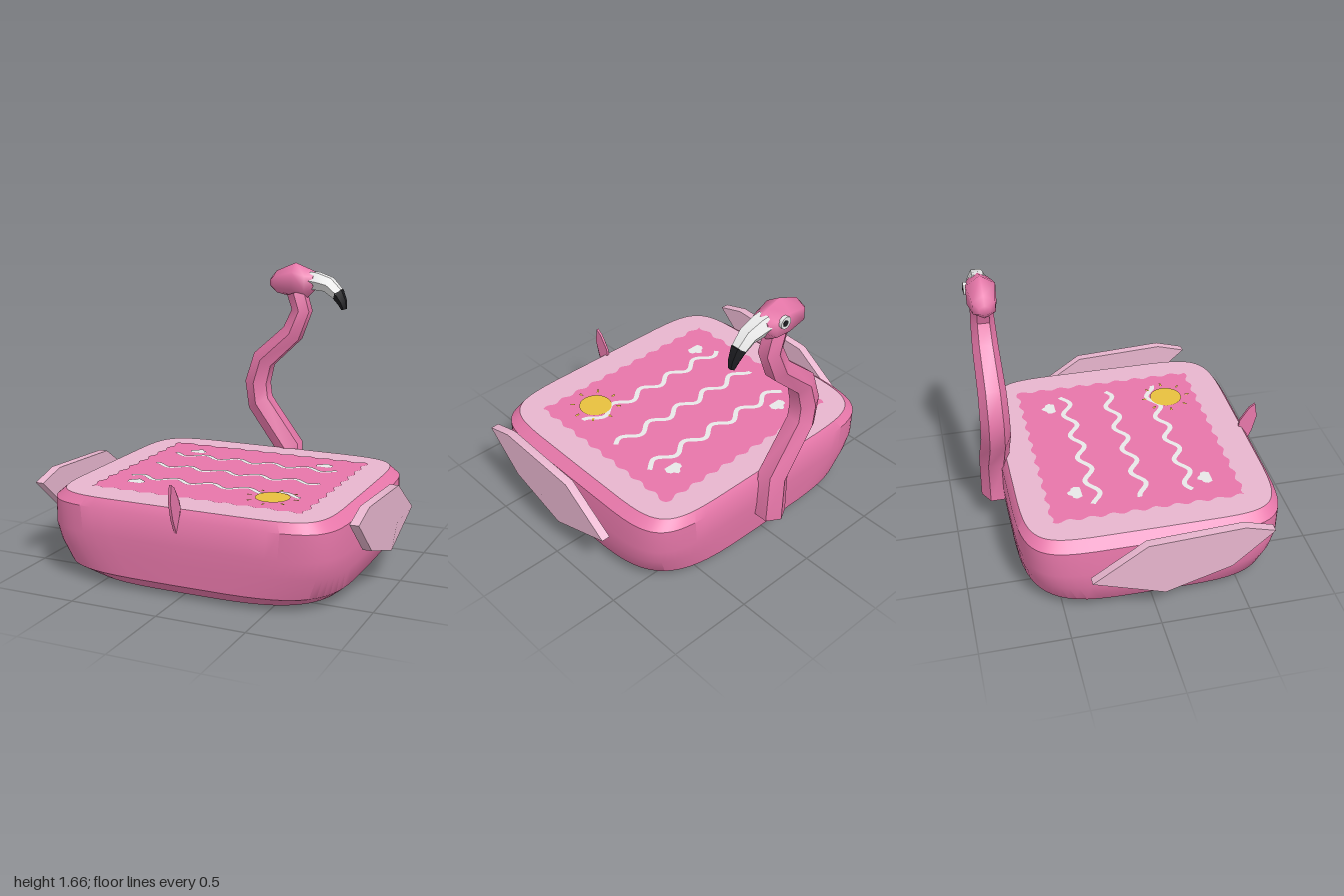
import * as THREE from 'three';
import { toCreasedNormals } from 'three/addons/utils/BufferGeometryUtils.js';

const V = (x, y, z) => new THREE.Vector3(x, y, z);
const mat = (name, color) => {
  const m = new THREE.MeshStandardMaterial({ color });
  m.name = name;
  return m;
};

// Skin between rings; each ring runs counter-clockwise about the direction of travel
function loft(rings, crease, startCap, endCap) {
  const n = rings[0].length, pos = [], idx = [];
  rings.flat().forEach(p => pos.push(p.x, p.y, p.z));
  for (let r = 0; r < rings.length - 1; r++) {
    for (let i = 0; i < n; i++) {
      const a = r * n + i, b = r * n + (i + 1) % n;
      idx.push(a, b, b + n, a, b + n, a + n);
    }
  }
  const cap = (centre, base, flip) => {
    const c = pos.length / 3;
    pos.push(centre.x, centre.y, centre.z);
    for (let i = 0; i < n; i++) {
      const a = base + i, b = base + (i + 1) % n;
      if (flip) idx.push(c, b, a); else idx.push(c, a, b);
    }
  };
  if (startCap) cap(startCap, 0, true);
  if (endCap) cap(endCap, (rings.length - 1) * n, false);
  const g = new THREE.BufferGeometry();
  g.setAttribute('position', new THREE.Float32BufferAttribute(pos, 3));
  g.setIndex(idx);
  return toCreasedNormals(g, crease);
}

// Six-sided tube along a path of [x, y, radius] at depth z
function hexTube(path, z, crease) {
  const rings = path.map(([x, y, r], k) => {
    const p = path[Math.max(k - 1, 0)], q = path[Math.min(k + 1, path.length - 1)];
    const t = V(q[0] - p[0], q[1] - p[1], 0).normalize();
    return Array.from({ length: 6 }, (_, i) => {
      const a = Math.PI / 6 + i * Math.PI / 3, c = Math.cos(a) * r;
      return V(x - t.y * c, y + t.x * c, z + Math.sin(a) * r);
    });
  });
  const s = path[0], e = path[path.length - 1];
  return loft(rings, crease, V(s[0], s[1], z), V(e[0], e[1], z));
}

// Plate in the yz plane with a thin rim and a raised middle on both sides
function puffPlate(outline, rim, peak, cz, cy) {
  const ring = x => outline.map(([z, y]) => V(x, y, z));
  const g = loft([ring(-rim), ring(rim)], 0.8, V(-peak, cy, cz), V(peak, cy, cz));
  const nrm = g.attributes.normal;
  for (let i = 0; i < nrm.count; i++) {
    const x = nrm.getX(i);
    if (Math.abs(x) > 0.5) nrm.setXYZ(i, Math.sign(x), 0, 0);
  }
  return g;
}

// Flat sheet facing up from [x, z] points
function sheet(points, y) {
  const shape = new THREE.Shape(points.map(([x, z]) => new THREE.Vector2(x, -z)));
  return new THREE.ShapeGeometry(shape).rotateX(-Math.PI / 2).translate(0, y, 0);
}

// Rounded square ring for the float
function squircle(y, hx, hz, n) {
  const f = v => Math.sign(v) * Math.pow(Math.abs(v), 2 / n);
  return Array.from({ length: 64 }, (_, i) => {
    const a = i / 64 * Math.PI * 2;
    return V(hx * f(Math.cos(a)), y, 0.03 - hz * f(Math.sin(a)));
  });
}

export function createModel() {
  const root = new THREE.Group();
  root.name = 'birdFloat';
  const pink = mat('pink', 0xf57fb4), towelPink = mat('towelPink', 0xf57db4);
  const pale = mat('palePink', 0xf5c0da), white = mat('white', 0xf4f4f4);
  const black = mat('black', 0x1c1c20), yellow = mat('yellow', 0xf2c942);
  const add = (name, geometry, material, parent = root) => {
    const m = new THREE.Mesh(geometry, material);
    m.name = name;
    parent.add(m);
    return m;
  };

  // Float body and its pale deck
  const top = squircle(0.5, 0.79, 0.71, 7);
  add('floatBody', loft([
    squircle(0, 0.75, 0.63, 3.6), squircle(0.075, 0.825, 0.722, 4.2),
    squircle(0.2, 0.855, 0.735, 5.2), squircle(0.3, 0.862, 0.742, 6),
    squircle(0.45, 0.85, 0.742, 6.5), top,
  ], 0.6, V(0, 0, 0.03)), pink);
  add('deck', sheet(top.map(p => [p.x, p.z]), 0.5), pale);

  // Towel with a wavy hem
  const hem = [], corners = [[-0.63, -0.52], [0.63, -0.52], [0.63, 0.56], [-0.63, 0.56]];
  corners.forEach(([x, z], k) => {
    const [x2, z2] = corners[(k + 1) % 4], steps = 72, waves = k % 2 ? 9 : 11;
    for (let i = 0; i < steps; i++) {
      const t = i / steps, w = 0.011 * Math.sin(t * waves * Math.PI * 2);
      hem.push([x + (x2 - x) * t + (k % 2 ? w : 0), z + (z2 - z) * t + (k % 2 ? 0 : w)]);
    }
  });
  add('towel', sheet(hem, 0.503), towelPink);

  // Wavy stripes
  [[-0.25, -0.325], [0.02, -0.3], [0.29, -0.25]].forEach(([zc, x0]) => {
    const upper = [], lower = [], k = Math.PI * 2 / 0.22;
    for (let i = 0; i <= 100; i++) {
      const x = -0.525 + 1.05 * i / 100, z = zc - 0.031 * Math.cos(k * (x - x0));
      const d = 0.031 * k * Math.sin(k * (x - x0)), l = 0.014 / Math.hypot(1, d);
      upper.push([x + d * l, z - l]);
      lower.unshift([x - d * l, z + l]);
    }
    add('waveStripe', sheet([...upper, ...lower], 0.506), white);
  });

  // Small clouds
  const cloud = [[-0.04, 0.04], [0.04, 0.04], [0.052, 0.01], [0.04, -0.012], [0.022, -0.018],
    [0.008, -0.04], [-0.01, -0.035], [-0.025, -0.015], [-0.045, -0.01], [-0.053, 0.012]];
  [[-0.41, -0.36, 1], [0.42, -0.36, 1], [-0.44, 0.38, -1]].forEach(([cx, cz, s]) =>
    add('cloud', sheet(cloud.map(([x, z]) => [cx + x * s, cz + z]), 0.506), white));

  // Sun with short rays
  const sun = new THREE.Group();
  sun.name = 'sun';
  sun.position.set(0.385, 0.509, 0.375);
  root.add(sun);
  add('sunDisc', new THREE.CircleGeometry(0.096, 24).rotateX(-Math.PI / 2), yellow, sun);
  for (let i = 0; i < 8; i++) {
    const ray = new THREE.PlaneGeometry(0.026, 0.012).rotateX(-Math.PI / 2).translate(0.136, 0, 0);
    add('sunRay', ray.rotateY(i * Math.PI / 4), yellow, sun);
  }

  // Wings
  const wing = [[0.46, 0.55], [0.63, 0.5], [0.4, 0.295], [0.03, 0.18], [-0.37, 0.32], [-0.07, 0.525]];
  [['leftWing', 1], ['rightWing', -1]].forEach(([name, s]) => {
    add(name, puffPlate(wing, 0.025, 0.072, 0.1, 0.37), pale).position.x = s * 0.928;
  });

  // Tail feather
  add('tail', puffPlate([[0.82, 0.65], [0.835, 0.56], [0.81, 0.46], [0.77, 0.37],
    [0.72, 0.46], [0.73, 0.54], [0.785, 0.625]], 0.007, 0.036, 0.775, 0.52), pink);

  // Neck
  const zc = -0.745;
  add('neck', hexTube([[0.05, 0.22, 0.09], [0.04, 0.5, 0.088], [-0.16, 0.77, 0.084],
    [-0.178, 0.9, 0.082], [-0.135, 1.05, 0.078], [0.055, 1.225, 0.072],
    [0.115, 1.37, 0.066], [0.08, 1.48, 0.064]], zc, 0.7), pink);

  // Head: six-sided rings along x as [x, y, half height, half width]
  const head = [[-0.09, 1.535, 0.03, 0.035], [-0.055, 1.54, 0.068, 0.07], [0.07, 1.553, 0.107, 0.092],
    [0.15, 1.54, 0.09, 0.082], [0.2, 1.555, 0.055, 0.06]].map(([x, y, h, w]) =>
    Array.from({ length: 6 }, (_, i) =>
      V(x, y + h * Math.cos(i * Math.PI / 3), zc + w * Math.sin(i * Math.PI / 3))));
  add('head', loft(head, 1.15, V(-0.09, 1.535, zc), V(0.2, 1.555, zc)), pink);

  // Beak and its dark tip
  add('beak', hexTube([[0.17, 1.557, 0.062], [0.21, 1.553, 0.061], [0.285, 1.535, 0.053],
    [0.345, 1.482, 0.043]], zc, 0.7), white);
  add('beakTip', hexTube([[0.34, 1.488, 0.045], [0.375, 1.43, 0.031], [0.388, 1.388, 0.018]], zc, 0.7), black);

  // Eye on the outer side
  const disc = (r, d) => new THREE.CylinderGeometry(r, r, d, 16).rotateX(Math.PI / 2);
  add('eyeWhite', disc(0.034, 0.02), white).position.set(0.11, 1.572, -0.824);
  add('pupil', disc(0.017, 0.006), black).position.set(0.115, 1.572, -0.834);

  return root;
}
